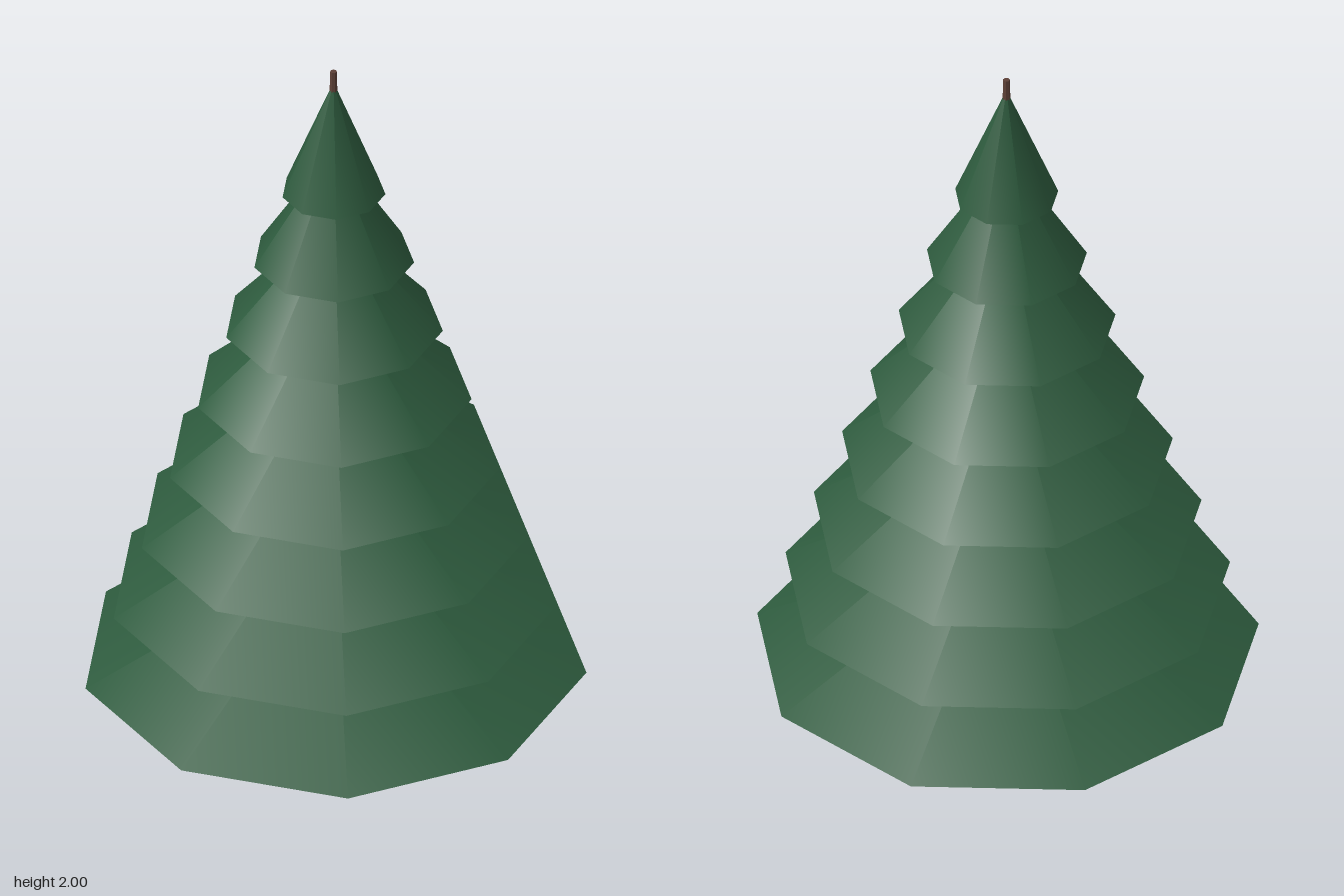
import * as THREE from 'three';

export function createModel() {
  const tree = new THREE.Group();
  tree.name = 'pineTree';

  const needles = new THREE.MeshStandardMaterial({ color: 0x2d5a3d });
  needles.name = 'needle green';
  const bark = new THREE.MeshStandardMaterial({ color: 0x5d4037, flatShading: true });
  bark.name = 'bark brown';

  // Seven-sided tapering trunk; its tip pokes out above the crown
  const trunk = new THREE.Mesh(
    new THREE.CylinderGeometry(0.008, 0.066, 2, 7, 1, false, THREE.MathUtils.degToRad(-9)), bark);
  trunk.name = 'trunk';
  trunk.position.y = 1;
  tree.add(trunk);

  // Eight overlapping nine-sided branch tiers, one corner pointing back
  const tiers = 8, height = 0.312;
  for (let i = 0; i < tiers; i++) {
    const radius = 0.606 - 0.0688 * i;
    const tier = new THREE.Mesh(
      new THREE.ConeGeometry(radius, height, 9, 1, false, Math.PI), needles);
    tier.name = `branchTier${i + 1}`;
    tier.position.y = 0.32 + 0.191 * i + height / 2;
    tree.add(tier);
  }

  // Centre the nine-sided outline front to back
  tree.children.forEach((part) => { part.position.z = 0.018; });
  return tree;
}
